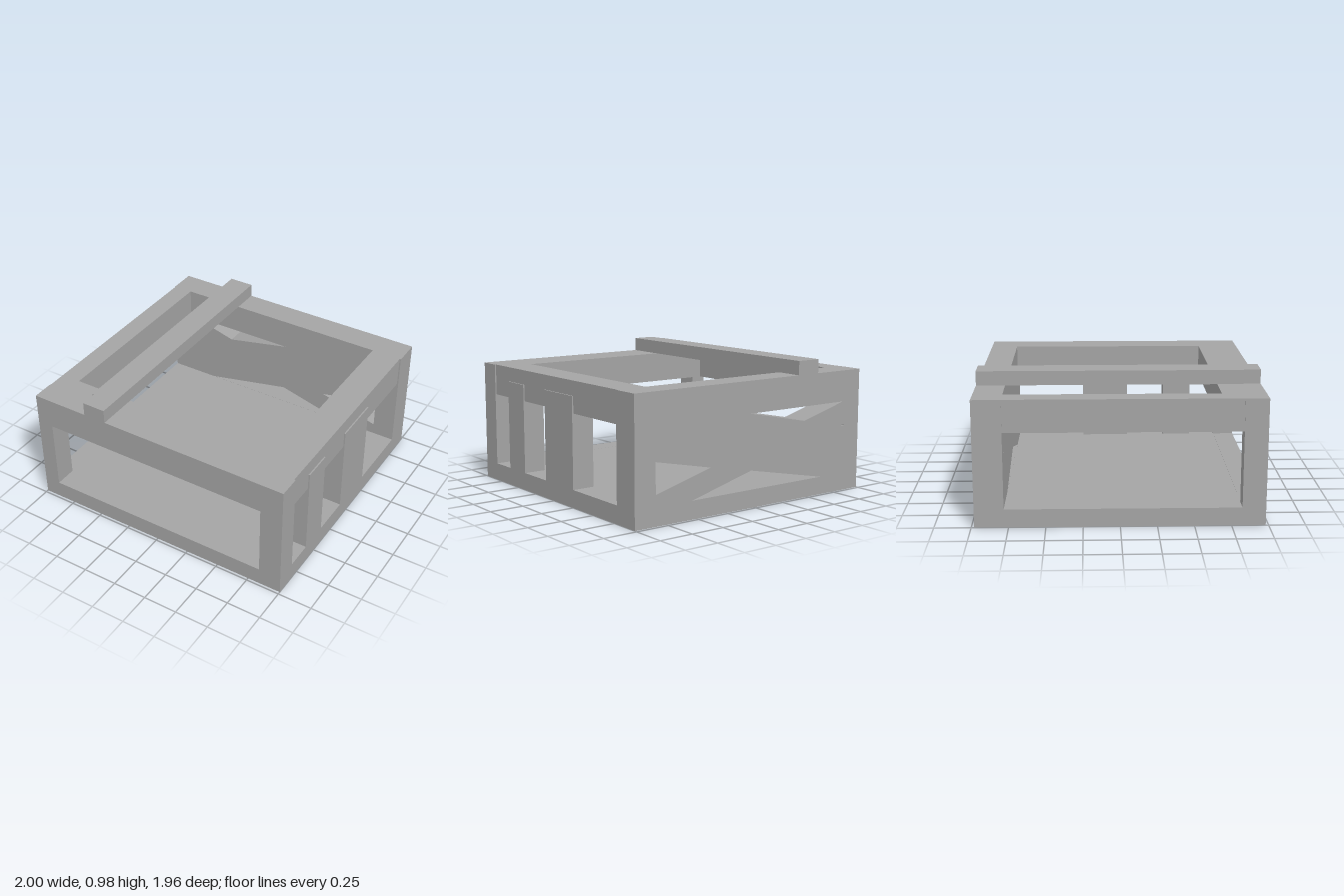
import * as THREE from 'three';

export function createModel() {
  const model = new THREE.Group();
  const grey = new THREE.MeshStandardMaterial({ color: 0xa4a4a4 });
  grey.name = 'grey';

  function add(name, geometry) {
    const mesh = new THREE.Mesh(geometry, grey);
    mesh.name = name;
    model.add(mesh);
    return mesh;
  }

  // Box given by its two opposite corners
  function block(name, [x0, x1], [y0, y1], [z0, z1]) {
    const mesh = add(name, new THREE.BoxGeometry(x1 - x0, y1 - y0, z1 - z0));
    mesh.position.set((x0 + x1) / 2, (y0 + y1) / 2, (z0 + z1) / 2);
  }

  const toPoints = (list) => list.map(([x, y]) => new THREE.Vector2(x, y));

  // Upright panel in the xy plane with cut-outs, between depths z0 and z1
  function wall(name, holes, z0, z1) {
    const shape = new THREE.Shape(toPoints([[-1, floorY], [1, floorY], [1, topY], [-1, topY]]));
    for (const hole of holes) shape.holes.push(new THREE.Path(toPoints(hole)));
    const geometry = new THREE.ExtrudeGeometry(shape, { depth: z1 - z0, bevelEnabled: false });
    add(name, geometry).position.z = z0;
  }

  const floorY = 0.127, railY = 0.655, topY = 0.88;
  const front = 0.98, back = -0.98, frontIn = 0.82, backIn = -0.78;
  const eps = 0.001;

  // Floor slab
  block('floor', [-1, 1], [0, floorY], [back, front]);

  // Front wall with one wide window
  wall('frontWall', [
    [[-0.88, floorY + eps], [-0.88, railY], [0.835, railY], [0.835, floorY + eps]],
  ], frontIn, front);

  // Back wall with triangular cut-outs and a tiny hole
  wall('backWall', [
    [[-0.84, railY], [0.04, railY], [-0.46, 0.553]],
    [[-0.63, floorY + eps], [0.03, 0.262], [0.54, floorY + eps]],
    [[0.385, 0.33], [0.835, 0.425], [0.835, 0.21]],
    [[-0.855, 0.485], [-0.835, 0.487], [-0.825, 0.483], [-0.84, 0.477], [-0.855, 0.478]],
  ], back, backIn);

  // Upper rails between the front and back walls
  block('leftRail', [0.77, 0.99], [railY, topY], [backIn, frontIn]);
  block('rightRail', [-0.995, -0.85], [railY, topY], [backIn, frontIn]);
  block('frontRail', [-0.85, 0.77], [railY, topY], [0.68, frontIn]);

  // Two pillars on the left side, slightly proud of the rail
  for (const z of [[0.4, 0.62], [-0.255, 0.105]]) {
    block('sidePillar', [0.835, 1], [floorY, 0.775], z);
  }

  // Beam across the top, narrowed at its front end
  const outline = new THREE.Shape(toPoints([
    [-0.585, -back], [-0.4, -back], [-0.4, -front], [-0.572, -front], [-0.572, -0.86], [-0.585, -0.86],
  ]));
  const beam = new THREE.ExtrudeGeometry(outline, { depth: 0.1, bevelEnabled: false });
  beam.rotateX(-Math.PI / 2);
  add('topBeam', beam).position.y = topY;

  return model;
}
